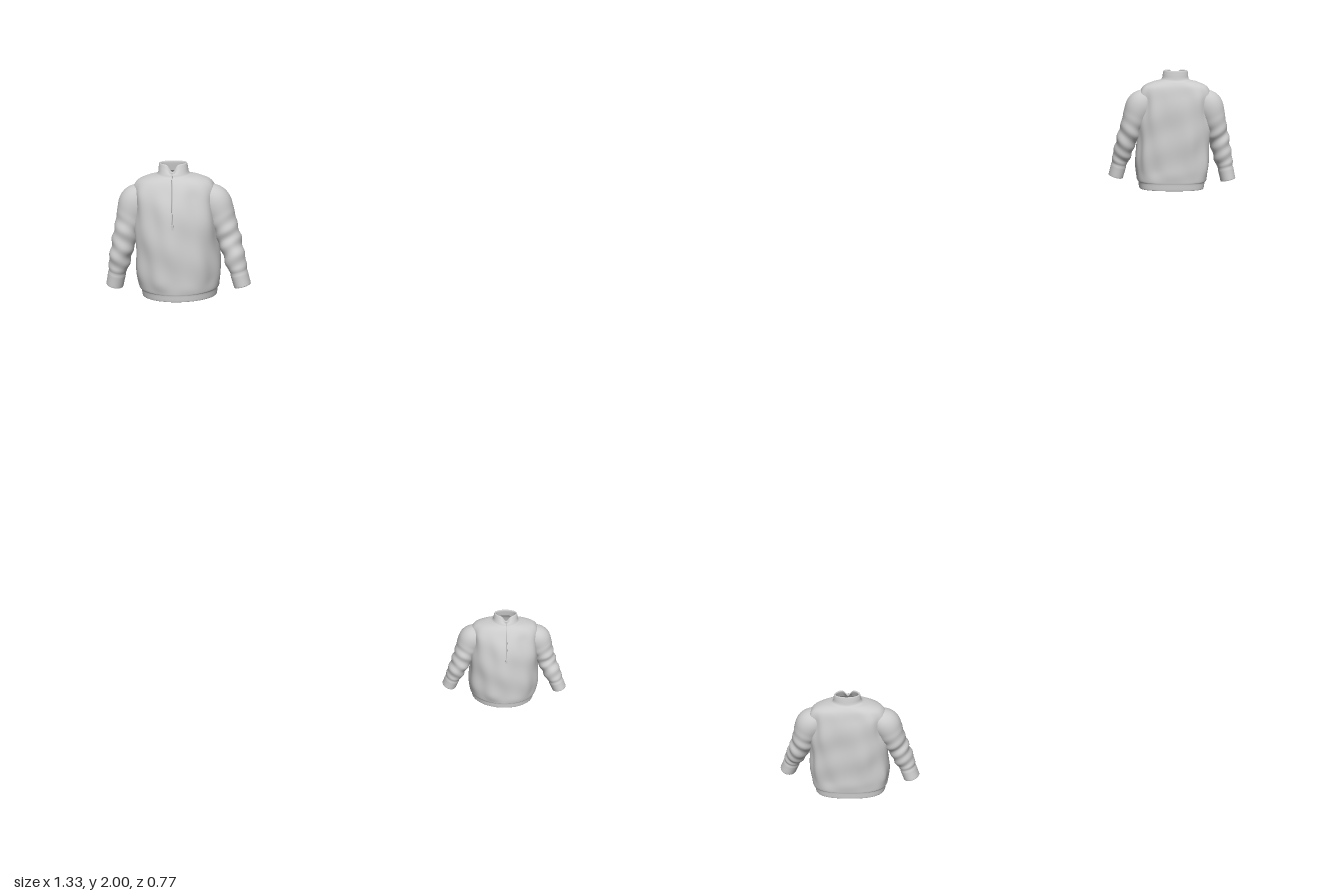
import * as THREE from 'three';

const material = new THREE.MeshStandardMaterial({ color: 0xcccccc, side: THREE.DoubleSide });

// Closed-ring surface: fn(v, angle) gives a point, rings share their seam vertices.
function loft(name, nu, nv, fn) {
  const pos = [], idx = [];
  for (let j = 0; j <= nv; j++) {
    for (let i = 0; i < nu; i++) pos.push(...fn(j / nv, (i / nu) * Math.PI * 2).toArray());
  }
  for (let j = 0; j < nv; j++) {
    for (let i = 0; i < nu; i++) {
      const a = j * nu + i, b = j * nu + (i + 1) % nu, c = a + nu, d = b + nu;
      idx.push(a, c, b, b, c, d);
    }
  }
  const geo = new THREE.BufferGeometry();
  geo.setAttribute('position', new THREE.Float32BufferAttribute(pos, 3));
  geo.setIndex(idx);
  geo.computeVertexNormals();
  const mesh = new THREE.Mesh(geo, material);
  mesh.name = name;
  return mesh;
}

const power = (v, p) => Math.sign(v) * Math.abs(v) ** p;
const bump = (v, centre, width) => Math.exp(-(((v - centre) / width) ** 2));

// Torso sections from turned-in hem to turned-in collar: height, half width, back z, front z
const sections = [
  [0.018, 0.088, -0.068, 0.070],
  [0.000, 0.094, -0.074, 0.076],
  [0.018, 0.097, -0.075, 0.077],
  [0.026, 0.102, -0.076, 0.078],
  [0.060, 0.106, -0.076, 0.079],
  [0.110, 0.106, -0.076, 0.077],
  [0.160, 0.105, -0.075, 0.073],
  [0.205, 0.105, -0.073, 0.066],
  [0.245, 0.104, -0.069, 0.055],
  [0.275, 0.101, -0.064, 0.043],
  [0.295, 0.090, -0.058, 0.032],
  [0.307, 0.065, -0.051, 0.023],
  [0.312, 0.044, -0.046, 0.018],
  [0.318, 0.038, -0.044, 0.015],
  [0.330, 0.036, -0.042, 0.008],
  [0.339, 0.034, -0.040, 0.003],
  [0.336, 0.030, -0.037, 0.000],
  [0.315, 0.033, -0.039, 0.008],
];
const outline = new THREE.SplineCurve(sections.map(s => new THREE.Vector2(s[1], s[0])));
const depths = new THREE.SplineCurve(sections.map(s => new THREE.Vector2(s[2], s[3])));

function torsoPoint(v, a) {
  const o = outline.getPoint(v), d = depths.getPoint(v);
  const c = Math.cos(a), s = Math.sin(a), y = o.y;
  const round = THREE.MathUtils.smoothstep(y, 0.29, 0.32);
  const p = s < 0 ? THREE.MathUtils.lerp(0.72, 1, round) : 1;
  const mid = THREE.MathUtils.lerp(d.x, d.y, 0.42);
  // Soft drape folds, fading out at the hem and the neck
  const fade = THREE.MathUtils.smoothstep(y, 0.02, 0.06) * (1 - THREE.MathUtils.smoothstep(y, 0.26, 0.31));
  const fold = fade * (0.0016 * Math.sin(7 * a + 14 * y) + 0.0012 * Math.sin(11 * a - 25 * y)
    + 0.0012 * Math.sin(60 * y + 3 * Math.cos(a)));
  const front = bump(a, Math.PI / 2, 0.28);
  const collarDip = 0.018 * front * THREE.MathUtils.smoothstep(y, 0.316, 0.338);
  const hemLift = 0.008 * Math.max(0, s) * (1 - THREE.MathUtils.smoothstep(y, 0, 0.05));
  return new THREE.Vector3(
    power(c, p) * o.x + c * fold,
    y - collarDip + hemLift,
    mid + power(s, p) * (s < 0 ? mid - d.x : d.y - mid) + s * fold);
}

// Sleeve from inside the shoulder to a cuff whose lip turns inwards
function sleeve(name, side, [cx, cy, cz]) {
  const path = new THREE.CatmullRomCurve3([
    [0.068, 0.268, -0.018], [0.095, 0.244, -0.020], [0.114, 0.200, -0.018],
    [0.131, 0.150, -0.012], [(0.131 + cx) / 2 + 0.001, (0.150 + cy) / 2, cz * 0.6 - 0.002], [cx, cy, cz],
  ].map(([x, y, z]) => new THREE.Vector3(side * x, y, z)));
  const radii = new THREE.SplineCurve([
    [0.026, 0.030], [0.041, 0.038], [0.037, 0.038], [0.032, 0.036], [0.029, 0.034],
    [0.027, 0.032], [0.023, 0.027], [0.022, 0.027],
  ].map(r => new THREE.Vector2(...r)));
  return loft(name, 32, 64, (v, a) => {
    const t = Math.min(v / 0.95, 1), lip = Math.max(0, (v - 0.95) / 0.05);
    const p = path.getPointAt(t - lip * 0.08);
    const dir = path.getTangentAt(t);
    const out = new THREE.Vector3(-dir.y * side, dir.x * side, 0).normalize();
    const across = new THREE.Vector3().crossVectors(dir, out).multiplyScalar(side);
    const r = radii.getPoint(t);
    // Slanted wrinkles gather towards the elbow and cuff
    const wrinkle = THREE.MathUtils.smoothstep(t, 0.2, 0.5) * (1 - THREE.MathUtils.smoothstep(t, 0.78, 0.86));
    const k = (1 - 0.14 * lip) * (1 + wrinkle * (0.055 * Math.sin(46 * t + 1.6 * Math.cos(a))
      + 0.03 * Math.sin(27 * t + 2 * a)) - 0.08 * bump(t, 0.85, 0.015));
    return p.addScaledVector(out, Math.cos(a) * r.x * k).addScaledVector(across, Math.sin(a) * r.y * k);
  });
}

function sweater(name, leftCuff, rightCuff) {
  const group = new THREE.Group();
  group.name = name;
  group.add(loft('torsoAndCollar', 72, 102, torsoPoint));
  group.add(sleeve('leftSleeve', 1, leftCuff), sleeve('rightSleeve', -1, rightCuff));
  // Short zip from the chest up to the collar
  const line = [];
  for (let i = 0; i <= 10; i++) line.push(torsoPoint(THREE.MathUtils.lerp(6.9, 14.6, i / 10) / 17, Math.PI / 2));
  const zip = new THREE.Mesh(new THREE.TubeGeometry(new THREE.CatmullRomCurve3(line), 30, 0.0018, 6), material);
  zip.name = 'zip';
  const pull = new THREE.Mesh(new THREE.BoxGeometry(0.005, 0.012, 0.003), material);
  pull.name = 'zipPull';
  pull.position.copy(line[0]).add(new THREE.Vector3(0, 0, 0.002));
  group.add(zip, pull);
  return group;
}

export function createModel() {
  const model = new THREE.Group();
  model.name = 'sweaters';
  const upper = sweater('upperSweater', [0.163, 0.028, 0.010], [0.166, 0.022, -0.016]);
  upper.position.set(-0.483, 1.661, 0.306);
  const lower = sweater('lowerSweater', [0.173, 0.045, 0.012], [0.167, 0.038, -0.014]);
  lower.position.set(0.455, 0, -0.3);
  lower.scale.set(1.08, 0.92, 1.08);
  model.add(upper, lower);
  return model;
}
